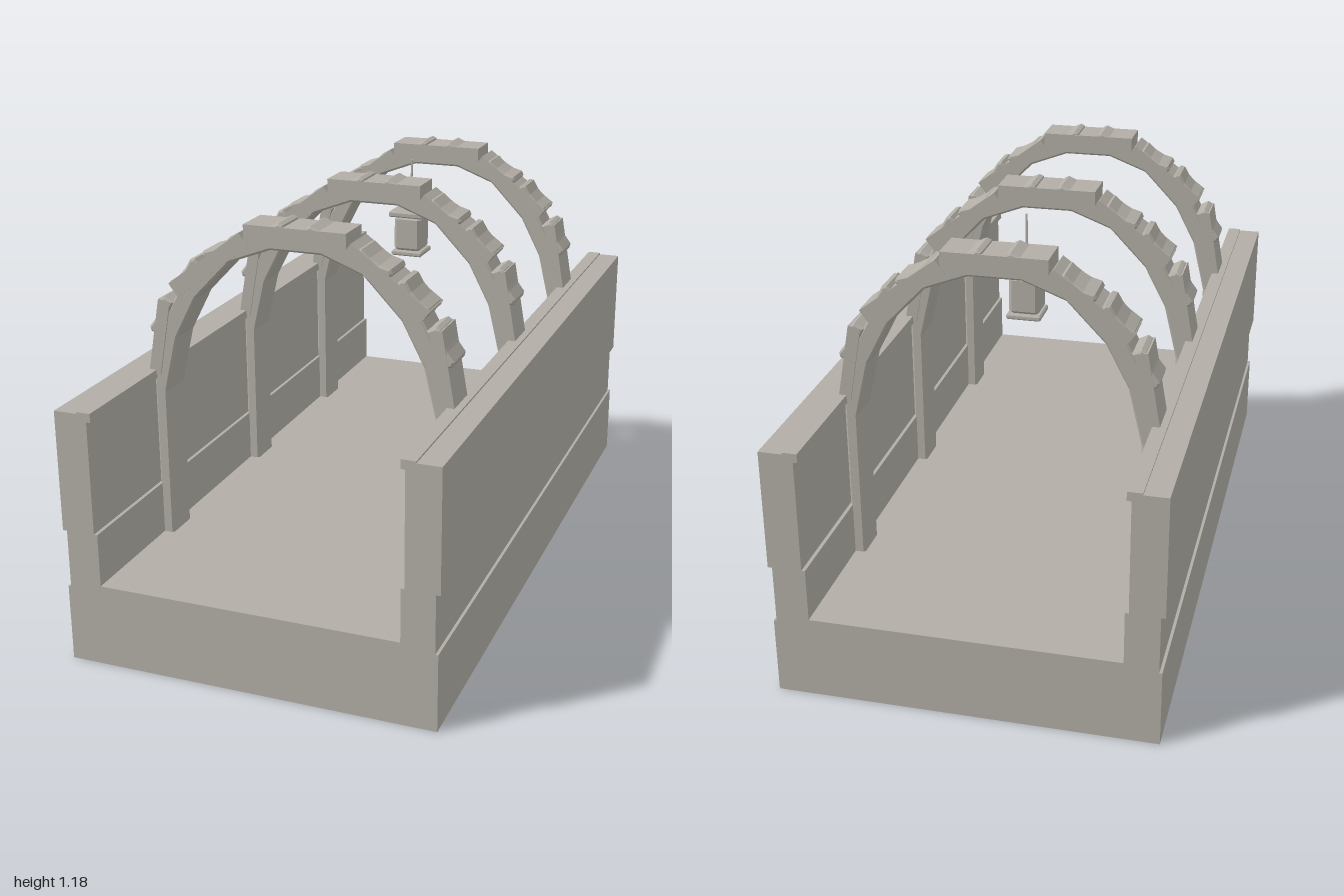
import * as THREE from 'three';

const stone = new THREE.MeshStandardMaterial({ color: 0xb2aea6, flatShading: true });
stone.name = 'grey stone';
const dark = new THREE.MeshStandardMaterial({ color: 0x73716d, flatShading: true });
dark.name = 'dark underside';

function add(parent, name, geometry, x = 0, y = 0, z = 0, material = stone) {
  const mesh = new THREE.Mesh(geometry, material);
  mesh.name = name;
  mesh.position.set(x, y, z);
  parent.add(mesh);
  return mesh;
}

// Outline extruded along z, centred, with an inset chamfer on both ends
function prism(points, depth, bevel) {
  const shape = new THREE.Shape(points.map(([x, y]) => new THREE.Vector2(x, y)));
  const geometry = new THREE.ExtrudeGeometry(shape, {
    depth: depth - 2 * bevel, bevelSize: bevel, bevelThickness: bevel,
    bevelOffset: -bevel, bevelSegments: 1,
  });
  return geometry.translate(0, 0, -depth / 2 + bevel);
}

const flipX = (points) => points.map(([x, y]) => [-x, y]);
const box = (w, h, d) => new THREE.BoxGeometry(w, h, d);

// Square block with cut corners, standing on its base
function block(half, height, corner, bevel) {
  const h = half, c = half - corner;
  return prism([[h, -c], [h, c], [c, h], [-c, h], [-h, c], [-h, -c], [-c, -h], [c, -h]], height, bevel)
    .rotateX(-Math.PI / 2).translate(0, height / 2, 0);
}

function createArch() {
  const arch = new THREE.Group();
  arch.name = 'arch';

  // Continuous rib with legs down to the floor
  const inner = [[0.395, 0.23], [0.395, 0.67], [0.357, 0.83], [0.295, 0.95], [0.19, 1.06], [0.072, 1.105]];
  const outer = [[0.432, 0.23], [0.432, 0.72], [0.4, 0.87], [0.335, 0.99], [0.215, 1.095], [0.08, 1.145]];
  const outline = [...outer, ...flipX(outer).reverse(), ...flipX(inner), ...[...inner].reverse()];
  add(arch, 'archRib', prism(outline, 0.104, 0.006));

  // Straight segments laid along the rib
  add(arch, 'topSegment', box(0.29, 0.054, 0.112), 0, 1.143, 0);
  const segments = [
    ['shoulderSegment', [0.145, 1.128], [0.36, 0.968], 0.044],
    ['sideSegment', [0.39, 0.935], [0.428, 0.72], 0.035],
  ];
  // Raised stones with dished tops: angle from vertical and radius
  const stones = [[11, 0.462], [29.5, 0.449], [47, 0.453], [66, 0.451]];
  const profile = [[-0.055, -0.03], [0.055, -0.03], [0.057, 0.001], [0.046, 0.009],
    [0.016, 0.002], [-0.016, 0.002], [-0.046, 0.009], [-0.057, 0.001]];

  for (const side of [-1, 1]) {
    for (const [name, a, b, thickness] of segments) {
      const dx = b[0] - a[0], dy = b[1] - a[1];
      const segment = add(arch, name, box(Math.hypot(dx, dy), thickness, 0.112),
        side * (a[0] + b[0]) / 2, (a[1] + b[1]) / 2, 0);
      segment.rotation.z = side * Math.atan2(dy, dx);
    }
    for (const [degrees, radius] of stones) {
      const a = THREE.MathUtils.degToRad(degrees);
      const raised = add(arch, 'raisedStone', prism(profile, 0.11, 0.006),
        side * Math.sin(a) * radius, 0.71 + Math.cos(a) * radius, 0);
      raised.rotation.z = -side * a;
    }
  }
  return arch;
}

function createLantern() {
  const lantern = new THREE.Group();
  lantern.name = 'lantern';
  add(lantern, 'lanternBase', block(0.05, 0.016, 0.003, 0.004), 0, 0.87, 0);
  add(lantern, 'lanternBody', block(0.044, 0.11, 0.01, 0.009), 0, 0.885, 0);
  add(lantern, 'lanternCap', block(0.057, 0.018, 0.003, 0.004), 0, 0.995, 0);
  add(lantern, 'lanternWire', box(0.005, 0.16, 0.005), 0, 1.09, 0);
  return lantern;
}

export function createModel() {
  const model = new THREE.Group();
  model.name = 'walledPassage';

  // Base with a dark underside
  add(model, 'base', box(1.05, 0.22, 2), 0, 0.11, 0, [stone, stone, stone, dark, stone, stone]);

  // Floor slabs, side walls with a recessed lower course, and a rail along each top
  for (const side of [-1, 1]) {
    add(model, 'floorSlab', box(0.43, 0.025, 2), side * 0.215, 0.2235, 0);
    add(model, 'lowerWall', box(0.092, 0.17, 2), side * 0.471, 0.302, 0);
    add(model, 'upperWall', box(0.094, 0.341, 2), side * 0.482, 0.5555, 0);
    add(model, 'wallRail', box(0.04, 0.025, 2), side * 0.443, 0.7185, 0);
  }

  for (const z of [-0.585, 0, 0.585]) {
    const arch = createArch();
    arch.position.z = z;
    model.add(arch);
  }

  const lantern = createLantern();
  lantern.position.z = -0.29;
  model.add(lantern);
  return model;
}
